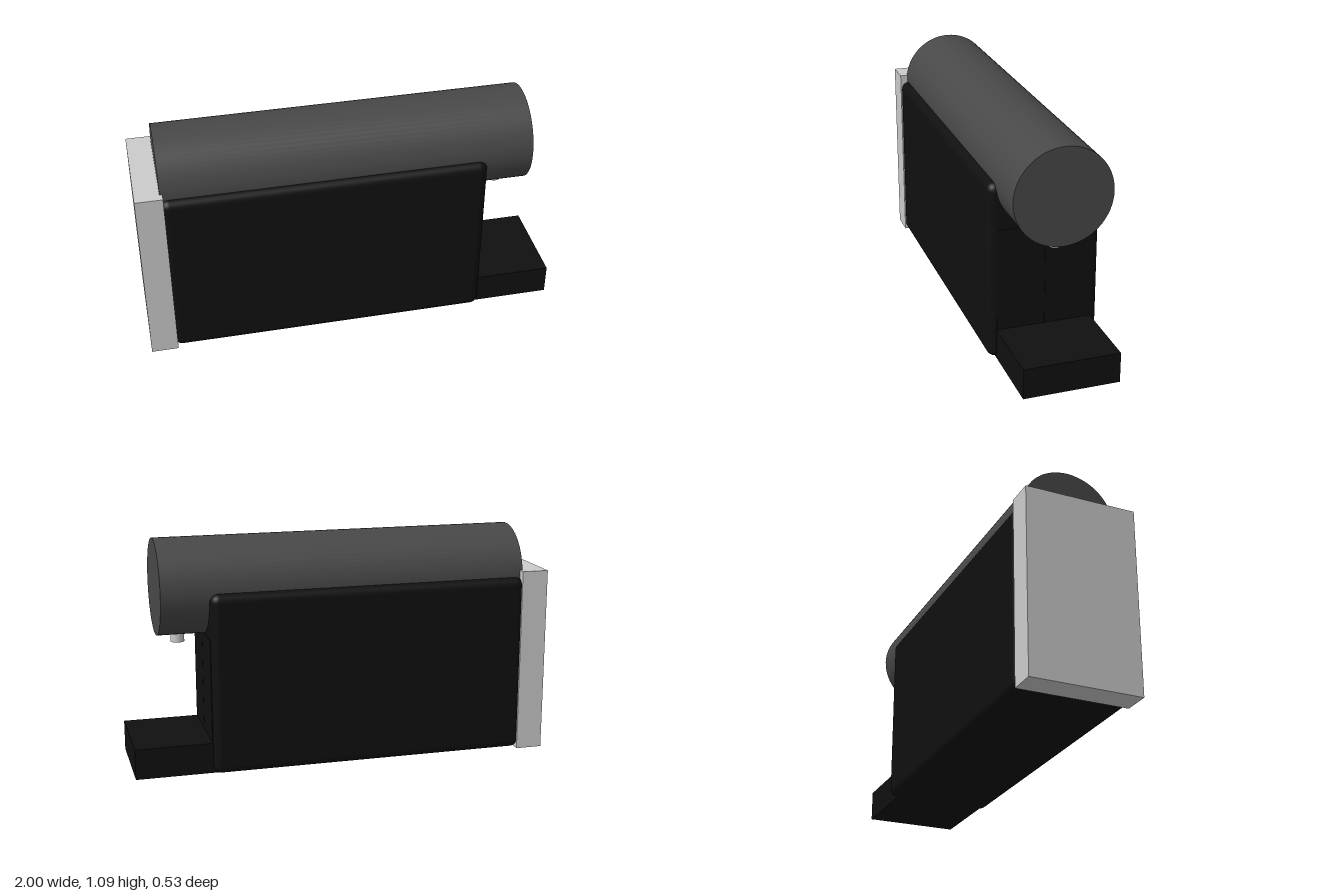
import * as THREE from 'three';
import { RoundedBoxGeometry } from 'three/addons/geometries/RoundedBoxGeometry.js';

export function createModel() {
  const group = new THREE.Group();
  const grey = new THREE.MeshStandardMaterial({ color: 0xcccccc });
  const black = new THREE.MeshStandardMaterial({ color: 0x101010 });
  const charcoal = new THREE.MeshStandardMaterial({ color: 0x484848 });

  const add = (name, geometry, material, x, y, z) => {
    const mesh = new THREE.Mesh(geometry, material);
    mesh.name = name;
    mesh.position.set(x, y, z);
    group.add(mesh);
    return mesh;
  };
  // Box given by its extents, centred on z = 0 unless shifted
  const box = (name, material, x0, x1, y0, y1, depth, z = 0) =>
    add(name, new THREE.BoxGeometry(x1 - x0, y1 - y0, depth), material,
      (x0 + x1) / 2, (y0 + y1) / 2, z);

  // Back plate
  box('backPlate', grey, -1, -0.872, 0, 0.89, 0.526);

  // Main housing with rounded edges, tucked slightly into the back plate
  const housing = new RoundedBoxGeometry(1.525, 0.854, 0.524, 6, 0.04);
  add('housing', housing, black, 0.6375 - 1.525 / 2, 0.431, 0);

  // Base shelf protruding from the housing
  box('baseShelf', black, 0.6, 1, 0.005, 0.15, 0.45);

  // Pair of thin doors on the end face, with a narrow gap between them
  for (const side of [-1, 1]) {
    box('door', black, 0.62, 0.64, 0.152, 0.64, 0.221, side * 0.1125);
  }

  // Horizontal tank lying in the top of the housing
  const tank = new THREE.CylinderGeometry(0.227, 0.227, 1.745, 64);
  tank.rotateZ(Math.PI / 2);
  add('tank', tank, charcoal, -0.0125, 0.86, 0);

  // Small outlet under the free end of the tank
  add('outlet', new THREE.CylinderGeometry(0.032, 0.032, 0.06, 32), grey, 0.757, 0.624, 0);

  return group;
}
